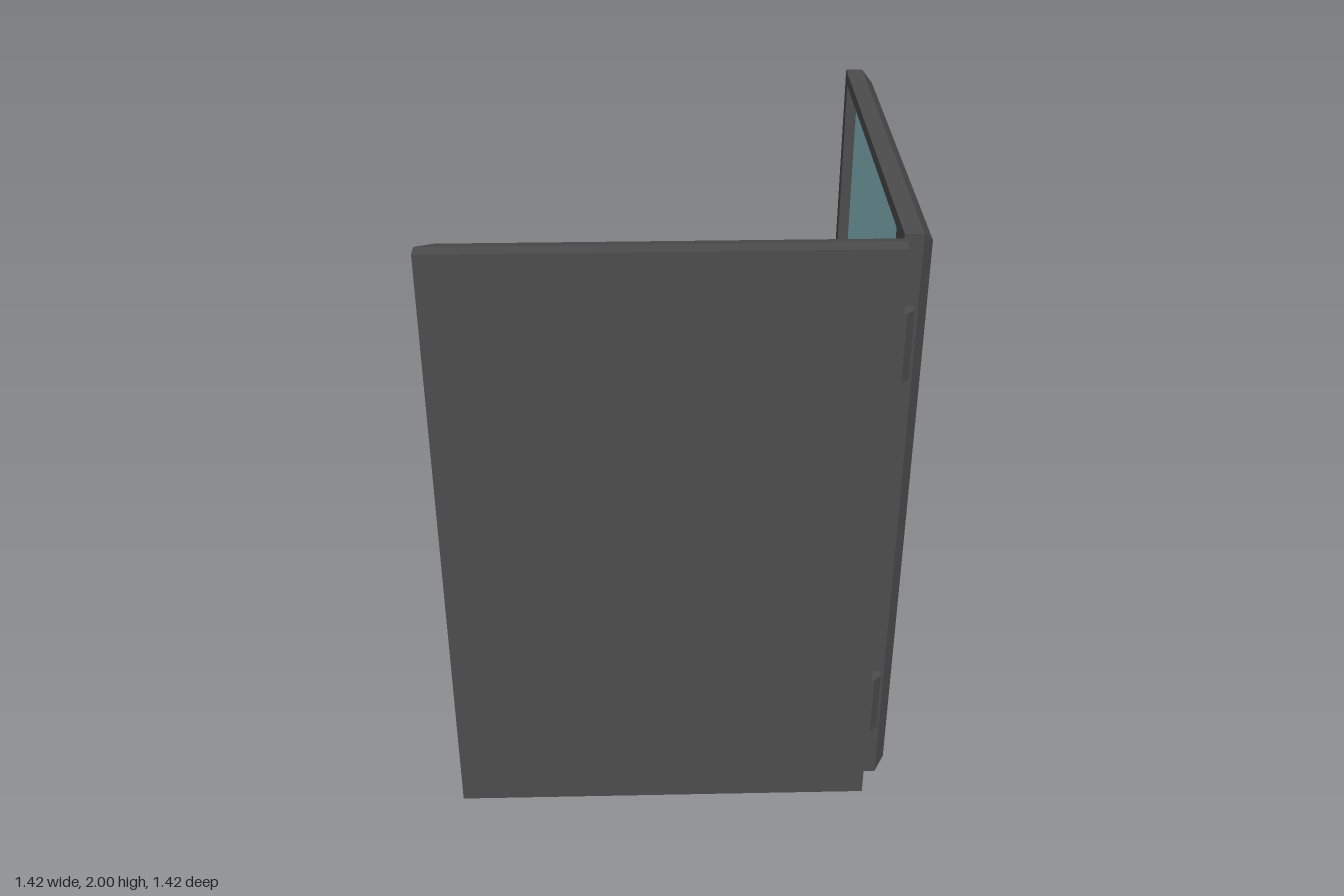
import * as THREE from 'three';

const dark = new THREE.MeshStandardMaterial({ color: 0x4d4d4d, flatShading: true });
const glass = new THREE.MeshStandardMaterial({ color: 0x8ec3c9, flatShading: true });
const pale = new THREE.MeshStandardMaterial({ color: 0xcccccc, flatShading: true });

// Two-metre tall slab made of three rectangular layers in z.
// Each layer is [z, left inset, right inset, top and bottom inset].
function layeredSlab(x0, x1, layers) {
  const geo = new THREE.BoxGeometry(2, 2, 2, 1, 1, 2).toNonIndexed();
  const p = geo.attributes.position;
  for (let i = 0; i < p.count; i++) {
    const [z, left, right, ends] = layers[Math.round(p.getZ(i)) + 1];
    p.setXYZ(
      i,
      p.getX(i) < 0 ? x0 + left : x1 - right,
      p.getY(i) < 0 ? ends : 2 - ends,
      z
    );
  }
  geo.computeVertexNormals();
  return geo;
}

function rectangle(Type, x0, x1, y0, y1) {
  return new Type([
    new THREE.Vector2(x0, y0), new THREE.Vector2(x1, y0),
    new THREE.Vector2(x1, y1), new THREE.Vector2(x0, y1),
  ]);
}

function block(x0, x1, y0, y1, z0, z1) {
  return new THREE.BoxGeometry(x1 - x0, y1 - y0, z1 - z0)
    .translate((x0 + x1) / 2, (y0 + y1) / 2, (z0 + z1) / 2);
}

function add(parent, name, geometry, material) {
  const mesh = new THREE.Mesh(geometry, material);
  mesh.name = name;
  parent.add(mesh);
  return mesh;
}

export function createModel() {
  const model = new THREE.Group();
  model.name = 'hingedCase';

  // Front cover: chamfered on the free edge of its inner face
  add(model, 'frontCover', layeredSlab(-0.71, 0.62, [
    [0.62, 0.05, 0, 0.01], [0.66, 0, 0, 0], [0.708, 0, 0, 0],
  ]), dark);

  // Pale pad on the inside of the front cover
  add(model, 'pad', block(-0.155, 0.51, 0.12, 1.88, 0.575, 0.62), pale);

  // Side panel, built lying in xy and turned so that its thickness runs along +x
  const side = new THREE.Group();
  side.name = 'sidePanel';
  side.rotation.y = Math.PI / 2;
  model.add(side);

  // Outer shell with a bevel all round
  add(side, 'sideShell', layeredSlab(-0.615, 0.71, [
    [0.66, 0, 0, 0], [0.675, 0, 0, 0], [0.706, 0.035, 0.035, 0.035],
  ]), dark);

  // Inner frame around the recessed screen
  const outline = rectangle(THREE.Shape, -0.615, 0.71, 0, 2);
  outline.holes.push(rectangle(THREE.Path, -0.485, 0.66, 0.04, 1.96));
  const frame = new THREE.ExtrudeGeometry(outline, { depth: 0.04, bevelEnabled: false });
  add(side, 'screenFrame', frame.translate(0, 0, 0.62), dark);
  add(side, 'screen', block(-0.485, 0.66, 0.04, 1.96, 0.656, 0.66), glass);

  // Octagonal hinge barrels on the corner between the two leaves
  for (const [name, y] of [['lowerHinge', 0.335], ['upperHinge', 1.668]]) {
    const barrel = new THREE.CylinderGeometry(0.046, 0.046, 0.222, 8).rotateY(Math.PI / 8);
    add(model, name, barrel, dark).position.set(0.62, y, 0.62);
  }

  return model;
}
